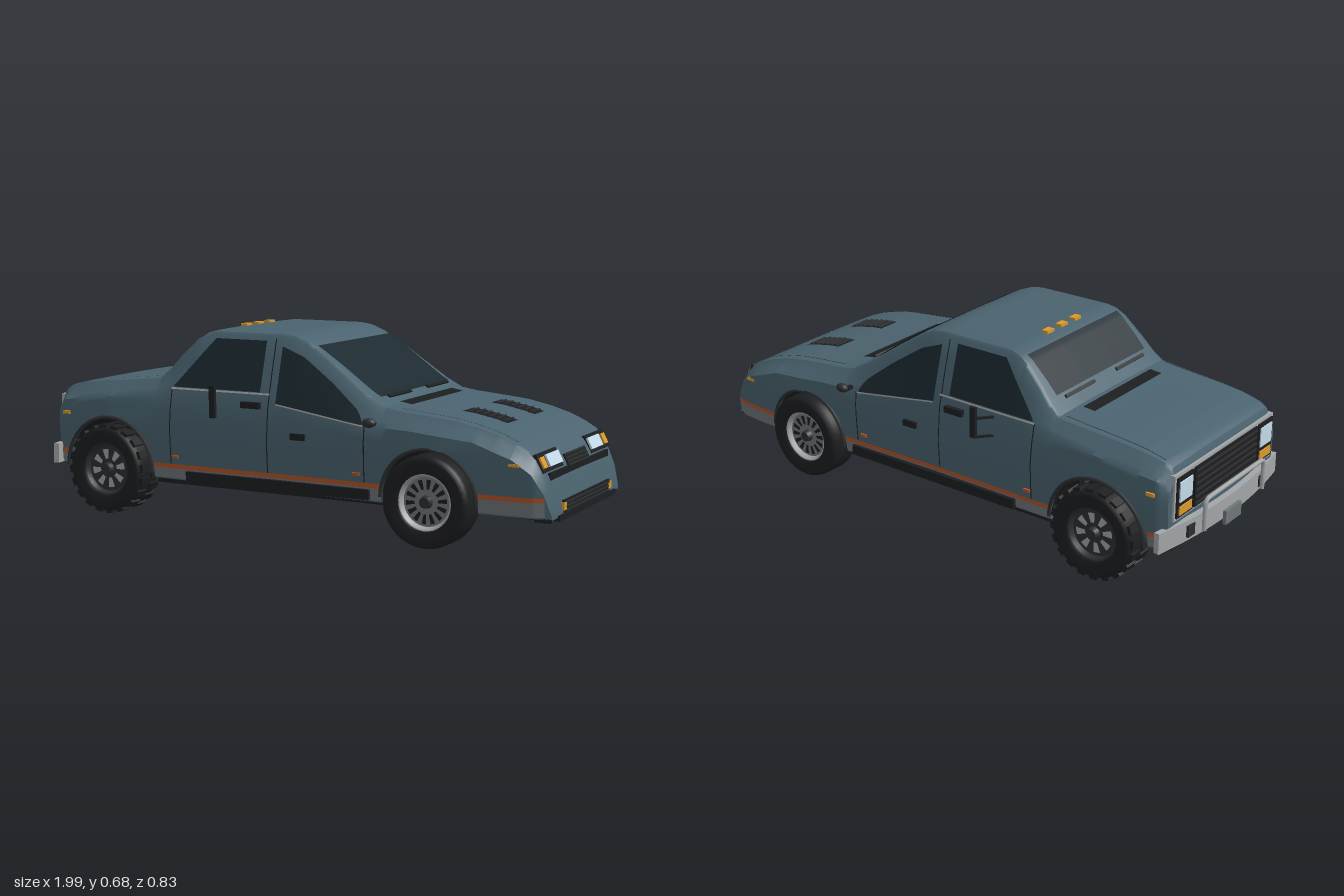
import * as THREE from 'three';
import { toCreasedNormals } from 'three/addons/utils/BufferGeometryUtils.js';

const mat = (color) => new THREE.MeshStandardMaterial({ color, side: THREE.DoubleSide });
const paint = mat(0x4a636f), glass = mat(0x1b292f), black = mat(0x1d1e20), dark = mat(0x2c2e30),
  chrome = mat(0xa3a6a8), grey = mat(0x70777a), orange = mat(0xb4552c), amber = mat(0xdc982c), lamp = mat(0xc4dcea);

// Piecewise-linear curves along the car: values keyed by x
const curve = (keys) => (x) => {
  if (x <= keys[0][0]) return keys[0][1];
  for (let i = 1; i < keys.length; i++) {
    const [a, p] = keys[i - 1], [b, q] = keys[i];
    if (x <= b) return p + (q - p) * (x - a) / (b - a);
  }
  return keys[keys.length - 1][1];
};
const topKeys = [[-0.938, 0.405], [-0.925, 0.435], [-0.9, 0.45], [-0.83, 0.467], [-0.74, 0.478], [-0.6, 0.49], [-0.5, 0.5],
  [-0.465, 0.53], [-0.42, 0.58], [-0.355, 0.643], [-0.32, 0.665], [-0.285, 0.674], [0, 0.674], [0.04, 0.668], [0.09, 0.648],
  [0.195, 0.58], [0.33, 0.485], [0.39, 0.453], [0.45, 0.443], [0.54, 0.435], [0.65, 0.424], [0.73, 0.408], [0.8, 0.388],
  [0.86, 0.363], [0.9, 0.34], [0.925, 0.315], [0.945, 0.28], [0.963, 0.24], [0.978, 0.185], [0.985, 0.14]];
const topY = curve(topKeys);
const halfW = curve([[-0.938, 0.34], [-0.9, 0.362], [-0.7, 0.375], [-0.45, 0.37], [0, 0.365], [0.4, 0.37], [0.6, 0.378],
  [0.82, 0.372], [0.93, 0.36], [0.985, 0.335]]);
const topHalf = curve([[-0.938, 0.31], [-0.8, 0.32], [-0.5, 0.325], [-0.42, 0.31], [-0.285, 0.29], [0.1, 0.29],
  [0.33, 0.32], [0.45, 0.325], [0.93, 0.325], [0.985, 0.315]]);
const shoulder = curve([[-0.938, 0.36], [-0.9, 0.4], [-0.5, 0.45], [-0.42, 0.46], [0, 0.45], [0.33, 0.39], [0.5, 0.385],
  [0.73, 0.365], [0.86, 0.32], [0.925, 0.275], [0.963, 0.21], [0.985, 0.137]]);
const base = curve([[-0.938, 0.17], [-0.85, 0.16], [-0.5, 0.145], [0.985, 0.132]]);
const sidePlan = curve([[0.13, 0.955], [0.2, 0.98], [0.33, 1], [0.4, 0.98], [0.46, 0.955]]);
const axles = [{ x: -0.69, y: 0.165, r: 0.16, arch: 0.185 }, { x: 0.575, y: 0.16, r: 0.155, arch: 0.172 }];

const bottomY = (x) => axles.reduce((y, a) => {
  const d = a.arch ** 2 - (x - a.x) ** 2;
  return d > 0 ? Math.max(y, a.y + Math.sqrt(d)) : y;
}, base(x));
// Half width of the skin at a given x and height
function sideZ(x, y) {
  const s = shoulder(x), low = halfW(x) * sidePlan(Math.min(y, s));
  if (y <= s) return low;
  return low + (topHalf(x) - low) * Math.min(1, (y - s) / (topY(x) - 0.012 - s));
}

// Body shell: cross-sections lofted along x, with the arches cut into the lower edge
function bodyGeometry() {
  const xs = topKeys.map((k) => k[0]);
  for (let i = 1; i < 90; i++) xs.push(-0.938 + i * 1.923 / 90);
  for (const a of axles) for (const s of [-1, 1]) xs.push(a.x + s * (a.arch - 0.001), a.x + s * (a.arch + 0.001));
  xs.sort((a, b) => a - b);
  const pos = [], idx = [];
  let n = 0;
  for (const x of xs) {
    const b = bottomY(x), s = shoulder(x), t = topY(x), w = topHalf(x), half = [];
    for (let k = 0; k <= 6; k++) { const y = b + (s - b) * k / 6; half.push([y, sideZ(x, y)]); }
    for (let k = 1; k <= 3; k++) { const y = s + (t - 0.012 - s) * k / 3; half.push([y, sideZ(x, y)]); }
    half.push([t - 0.003, w - 0.008], [t, w - 0.022], [t + 0.002, w * 0.5]);
    const ring = [...half, [t + 0.003, 0], ...half.map(([y, z]) => [y, -z]).reverse()];
    n = ring.length;
    for (const [y, z] of ring) pos.push(x, y, z);
  }
  for (let i = 0; i < xs.length - 1; i++) for (let j = 0; j < n; j++) {
    const a = i * n + j, b = i * n + (j + 1) % n;
    idx.push(a, a + n, b + n, a, b + n, b);
  }
  const last = (xs.length - 1) * n, c = pos.length / 3;
  pos.push(xs[0], 0.3, 0, xs[xs.length - 1], 0.135, 0);
  for (let j = 0; j < n; j++) {
    const k = (j + 1) % n;
    idx.push(c, j, k, c + 1, last + k, last + j);
  }
  const g = new THREE.BufferGeometry();
  g.setAttribute('position', new THREE.Float32BufferAttribute(pos, 3));
  g.setIndex(idx);
  return toCreasedNormals(g, 0.6);
}

export function createModel() {
  const car = new THREE.Group();
  const add = (name, geo, m, x = 0, y = 0, z = 0, parent = car) => {
    const mesh = new THREE.Mesh(geo, m);
    mesh.name = name;
    mesh.position.set(x, y, z);
    parent.add(mesh);
    return mesh;
  };
  const box = (name, m, x, y, z, w, h, d, tilt = 0) => {
    const b = add(name, new THREE.BoxGeometry(w, h, d), m, x, y, z);
    b.rotation.z = tilt;
    return b;
  };
  const both = (f) => [1, -1].forEach(f);
  // Thin panel that follows the skin; f(u, v) gives a point
  const patch = (name, m, f, nu = 16, nv = 3) => {
    const g = new THREE.PlaneGeometry(1, 1, nu, nv), p = g.attributes.position;
    for (let i = 0; i < p.count; i++) p.setXYZ(i, ...f(p.getX(i) + 0.5, p.getY(i) + 0.5));
    g.computeVertexNormals();
    return add(name, g, m);
  };
  const sidePanel = (name, m, x0, x1, lower, upper, off = 0.004) => both((s) => patch(name, m, (u, v) => {
    const x = x0 + (x1 - x0) * u, y = lower(x) + (upper(x) - lower(x)) * v;
    return [x, y, s * (sideZ(x, y) + off)];
  }, 24, 4));
  const topPanel = (name, m, x0, x1, z0, z1, off = 0.006) => patch(name, m, (u, v) => {
    const x = x0 + (x1 - x0) * u;
    return [x, topY(x) + off, z0 + (z1 - z0) * v];
  });
  const flat = (y) => () => y;

  add('body', bodyGeometry(), paint);

  // Underside and wheel wells
  box('underbody', black, 0.02, 0.2, 0, 1.88, 0.14, 0.55);
  box('sillFloor', black, -0.05, 0.14, 0, 0.9, 0.025, 0.69);
  box('noseFloor', black, 0.855, 0.135, 0, 0.22, 0.015, 0.66);
  for (const a of axles) {
    const well = new THREE.CylinderGeometry(a.arch - 0.003, a.arch - 0.003, 0.72, 28, 1, true, Math.PI / 2, Math.PI);
    add('wheelWell', well.rotateX(Math.PI / 2), black, a.x, a.y);
    both((s) => add('archLip', new THREE.TorusGeometry(a.arch, 0.007, 6, 28, Math.PI), dark, a.x, a.y, s * 0.371));
  }

  // Windows
  sidePanel('cabinWindow', glass, -0.42, -0.07, flat(0.475), curve([[-0.42, 0.48], [-0.275, 0.648], [-0.07, 0.648]]));
  sidePanel('slopingWindow', glass, -0.005, 0.33, curve([[0, 0.44], [0.33, 0.392]]),
    curve([[-0.005, 0.632], [0.08, 0.6], [0.2, 0.52], [0.31, 0.435], [0.33, 0.4]]));
  sidePanel('beltTrim', chrome, -0.43, -0.03, flat(0.467), flat(0.473), 0.006);
  sidePanel('windowSill', chrome, -0.005, 0.335, curve([[0, 0.435], [0.33, 0.387]]), curve([[0, 0.44], [0.33, 0.392]]), 0.006);
  topPanel('windscreen', glass, 0.115, 0.355, -0.27, 0.27);
  topPanel('backWindscreen', glass, -0.455, -0.335, -0.265, 0.265);

  // Side trim
  for (const [a, b] of [[-0.5, 0.4], [0.75, 0.965], [-0.925, -0.88]]) {
    const y = a < -0.8 ? 0.215 : 0.193;
    sidePanel('stripe', orange, a, b, flat(y - 0.008), flat(y + 0.008));
    sidePanel('lowerTrim', grey, a, b, (x) => base(x) + 0.005, flat(y - 0.008), 0.003);
  }
  sidePanel('doorSeam', black, -0.036, -0.032, flat(0.19), flat(0.655), 0.003);
  sidePanel('doorSeam', black, -0.43, -0.426, flat(0.19), flat(0.47), 0.003);
  sidePanel('doorSeam', black, 0.338, 0.342, flat(0.19), flat(0.39), 0.003);
  both((s) => {
    box('step', black, 0, 0.162, s * 0.36, 0.72, 0.035, 0.03);
    box('doorHandle', black, -0.1, 0.43, s * 0.36, 0.075, 0.022, 0.02);
    box('doorHandle', black, 0.09, 0.335, s * 0.368, 0.055, 0.022, 0.015);
    box('sideMarker', amber, 0.87, 0.302, s * 0.362, 0.035, 0.01, 0.01);
    box('sideMarker', amber, -0.885, 0.355, s * 0.362, 0.03, 0.012, 0.01);
    box('doorMarker', orange, -0.41, 0.228, s * 0.366, 0.025, 0.01, 0.01);
    box('doorMarker', orange, 0.31, 0.228, s * 0.366, 0.025, 0.01, 0.01);
    // Tall and small mirrors
    box('tallMirror', black, -0.222, 0.44, s * 0.411, 0.022, 0.11, 0.013);
    for (const y of [0.452, 0.385]) box('mirrorArm', black, -0.245, y, s * 0.382, 0.01, 0.007, 0.065).rotation.y = s * 0.7;
    add('smallMirror', new THREE.SphereGeometry(0.02, 14, 10).scale(1.2, 0.8, 0.8), dark, 0.375, 0.407, s * 0.4);
    box('smallMirrorArm', black, 0.37, 0.398, s * 0.375, 0.02, 0.01, 0.05);
    // Hood vents
    topPanel('hoodVent', black, 0.605, 0.765, s * 0.075, s * 0.165);
    for (let i = 0; i < 6; i++) {
      const x = 0.622 + i * 0.025;
      box('ventSlat', dark, x, topY(x) + 0.008, s * 0.12, 0.012, 0.004, 0.08, 0.2);
    }
    topPanel('hoodSeam', black, 0.45, 0.86, s * 0.296, s * 0.299, 0.004);
    topPanel('hoodSeam', black, -0.9, -0.52, s * 0.296, s * 0.299, 0.004);
    // Wipers
    box('wiper', black, 0.365, 0.477, s * 0.15, 0.012, 0.006, 0.17, -0.6);
    box('wiper', black, -0.47, 0.537, s * 0.15, 0.012, 0.006, 0.17, 0.8);
  });
  topPanel('cowlVent', black, 0.395, 0.44, -0.21, 0.21);
  topPanel('backCowlVent', black, -0.565, -0.52, -0.205, 0.205);
  for (const z of [-0.08, 0, 0.08]) box('roofLamp', amber, -0.285, 0.678, z, 0.025, 0.012, 0.038);

  // Sloping nose
  const lean = 0.48;
  both((s) => {
    box('headlightHousing', black, 0.928, 0.301, s * 0.223, 0.018, 0.066, 0.175, lean);
    box('headlight', lamp, 0.934, 0.304, s * 0.195, 0.018, 0.042, 0.112, lean);
    box('turnSignal', amber, 0.934, 0.303, s * 0.287, 0.018, 0.038, 0.034, lean);
    box('fogLamp', amber, 0.981, 0.158, s * 0.218, 0.02, 0.024, 0.024);
    box('lipBracket', black, 0.935, 0.12, s * 0.27, 0.06, 0.025, 0.006);
  });
  box('noseGrille', black, 0.941, 0.284, 0, 0.014, 0.045, 0.2, lean);
  for (let i = 0; i < 4; i++) box('grilleSlat', dark, 0.953 - i * 0.006, 0.27 + i * 0.011, 0, 0.01, 0.004, 0.19, lean);
  box('lowerIntake', black, 0.972, 0.155, 0, 0.03, 0.044, 0.44);
  for (let i = 0; i < 3; i++) box('intakeSlat', dark, 0.987, 0.143 + i * 0.013, 0, 0.008, 0.005, 0.42);
  box('splitter', black, 0.952, 0.126, 0, 0.08, 0.018, 0.54);

  // Upright truck face
  box('grilleFrame', chrome, -0.935, 0.335, 0, 0.02, 0.16, 0.63);
  box('truckGrille', black, -0.942, 0.335, 0, 0.02, 0.14, 0.4);
  for (let i = 0; i < 6; i++) box('truckGrilleBar', dark, -0.953, 0.278 + i * 0.023, 0, 0.006, 0.007, 0.39);
  both((s) => {
    box('truckLampHousing', black, -0.941, 0.335, s * 0.258, 0.02, 0.14, 0.095);
    box('truckHeadlight', lamp, -0.946, 0.355, s * 0.258, 0.018, 0.07, 0.075);
    box('truckTurnSignal', amber, -0.946, 0.289, s * 0.258, 0.018, 0.03, 0.075);
    box('bumperBracket', dark, -0.94, 0.2, s * 0.23, 0.05, 0.04, 0.04);
  });
  const band = new THREE.Shape().moveTo(-0.935, -0.382).quadraticCurveTo(-1.01, 0, -0.935, 0.382)
    .lineTo(-0.915, 0.378).quadraticCurveTo(-0.985, 0, -0.915, -0.378);
  add('bumper', new THREE.ExtrudeGeometry(band, { depth: 0.072, bevelEnabled: false, curveSegments: 20 })
    .rotateX(Math.PI / 2), chrome, 0, 0.238);
  const barPath = new THREE.CatmullRomCurve3([[0.19, 0.19], [0.19, 0.28], [0.175, 0.3], [-0.175, 0.3], [-0.19, 0.28], [-0.19, 0.19]]
    .map(([z, y]) => new THREE.Vector3(-0.987, y, z)), false, 'catmullrom', 0.1);
  add('pushBar', new THREE.TubeGeometry(barPath, 50, 0.008, 8), chrome);
  box('plate', grey, -0.982, 0.175, 0, 0.012, 0.05, 0.1);

  // Wheels: lathed tyre, rim, slots or spokes, and tread blocks on the truck axle
  const truckTyre = [[0.092, -0.05], [0.1, -0.058], [0.135, -0.062], [0.15, -0.055], [0.154, -0.04], [0.154, 0.04], [0.15, 0.055],
    [0.135, 0.062], [0.1, 0.058], [0.092, 0.05]];
  const ringOf = (list, axis) => new THREE.LatheGeometry(list.map(([r, h]) => new THREE.Vector2(r, h)), axis).rotateX(Math.PI / 2);
  axles.forEach((a, k) => both((s) => {
    const wheel = new THREE.Group(), truck = k === 0;
    wheel.name = truck ? 'truckWheel' : 'sportWheel';
    wheel.position.set(a.x, a.y, s * 0.342);
    if (s < 0) wheel.rotation.y = Math.PI;
    car.add(wheel);
    add('tyre', ringOf(truckTyre, 40), black, 0, 0, 0, wheel);
    add('rimBarrel', ringOf([[0.094, -0.05], [0.085, -0.045], [0.08, 0.03], [0.088, 0.05], [0.094, 0.052]], 36), truck ? dark : chrome, 0, 0, 0, wheel);
    const disc = new THREE.CylinderGeometry(0.086, 0.086, 0.05, 32).rotateX(Math.PI / 2);
    add('rimDisc', disc, truck ? dark : grey, 0, 0, 0.01, wheel);
    add('innerDisc', new THREE.CircleGeometry(0.082, 32), chrome, 0, 0, -0.025, wheel);
    add('hub', new THREE.CylinderGeometry(0.018, 0.024, 0.03, 18).rotateX(Math.PI / 2), dark, 0, 0, 0.04, wheel);
    const count = truck ? 8 : 14;
    for (let i = 0; i < count; i++) {
      const wedge = new THREE.RingGeometry(truck ? 0.035 : 0.042, truck ? 0.07 : 0.074, 4, 1,
        i * 2 * Math.PI / count, truck ? 0.38 : 0.22);
      add(truck ? 'rimWindow' : 'rimSlot', wedge, truck ? chrome : black, 0, 0, 0.037, wheel);
    }
    if (truck) for (let i = 0; i < 20; i++) for (const side of [-1, 1]) {
      const t = (i + side * 0.25) * Math.PI / 10;
      const block = add('treadBlock', new THREE.BoxGeometry(0.012, 0.028, 0.05), black, 0.155 * Math.cos(t), 0.155 * Math.sin(t), side * 0.03, wheel);
      block.rotation.z = t;
    }
  }));
  return car;
}
